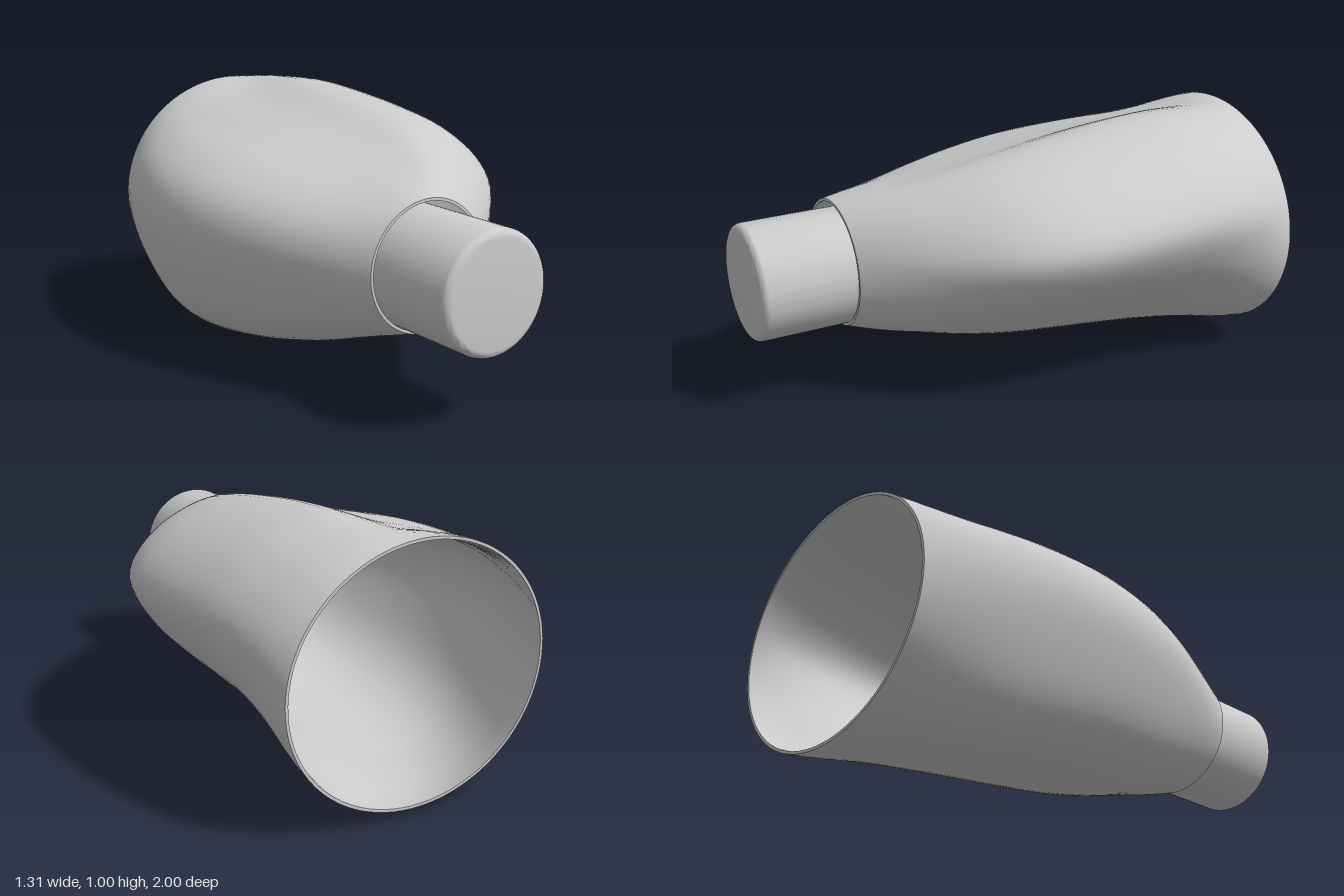
import * as THREE from 'three';
import { toCreasedNormals } from 'three/addons/utils/BufferGeometryUtils.js';

const SIDES = 96, ROWS = 56, WALL = 0.011;

// Stations along the body: z, min x, max x, min y, max y, bulge (0 = ellipse, 1 = full bulge)
const stations = [
  [0.64, -0.375, 0.127, 0.258, 0.75, 0],
  [0.4, -0.48, 0.38, 0.188, 0.825, 0.6],
  [0.2, -0.56, 0.545, 0.124, 0.886, 0.9],
  [0, -0.62, 0.628, 0.076, 0.932, 1],
  [-0.2, -0.652, 0.652, 0.042, 0.964, 1.02],
  [-0.4, -0.65, 0.653, 0.015, 0.987, 1.02],
  [-0.6, -0.615, 0.642, 0, 1, 0.94],
  [-0.8, -0.555, 0.617, 0.01, 0.992, 0.6],
  [-1, -0.474, 0.578, 0.028, 0.98, 0],
];
const tracks = stations[0].map((_, c) => new THREE.SplineCurve(stations.map((s) => new THREE.Vector2(s[c], 0))));

// Skewed, rounded cross-section at the widest part, counter-clockwise from the front
const bulgePoints = [
  [0.65, 0.66], [0.6, 0.78], [0.43, 0.92], [0.18, 0.99], [-0.05, 0.92], [-0.28, 0.86],
  [-0.46, 0.805], [-0.6, 0.705], [-0.655, 0.55], [-0.615, 0.34], [-0.52, 0.14], [-0.4, 0.04],
  [-0.23, 0], [0, 0.045], [0.22, 0.155], [0.42, 0.32], [0.565, 0.475],
].map(([x, y]) => new THREE.Vector3(x / 0.655, (y - 0.5) / 0.5, 0));
const bulge = new THREE.CatmullRomCurve3(bulgePoints, true).getSpacedPoints(SIDES).slice(0, SIDES);

// One cross-section, fitted to its station's width and height
function section(t, inset) {
  const [z, x0, x1, y0, y1, w] = tracks.map((c) => c.getPoint(t).x);
  const pts = bulge.map((p) => {
    const a = Math.atan2(p.y, p.x);
    return new THREE.Vector3(Math.cos(a), Math.sin(a), 0).lerp(p, w);
  });
  const box = new THREE.Box3().setFromPoints(pts);
  const fit = (v, a, b, lo, hi) => lo + inset + ((v - a) / (b - a)) * (hi - lo - 2 * inset);
  return pts.map((p) => [
    fit(p.x, box.min.x, box.max.x, x0, x1),
    fit(p.y, box.min.y, box.max.y, y0, y1),
    z,
  ]);
}

// Skin a list of closed sections; faces look outward when the sections run from +z to -z
function loft(sections) {
  const index = [];
  for (let r = 0; r < sections.length - 1; r++) {
    for (let i = 0; i < SIDES; i++) {
      const a = r * SIDES + i, b = r * SIDES + ((i + 1) % SIDES);
      index.push(a, a + SIDES, b, b, a + SIDES, b + SIDES);
    }
  }
  const g = new THREE.BufferGeometry();
  g.setAttribute('position', new THREE.Float32BufferAttribute(sections.flat(2), 3));
  g.setIndex(index);
  g.computeVertexNormals();
  return g;
}

export function createModel() {
  const model = new THREE.Group();
  const grey = new THREE.MeshStandardMaterial({ color: 0xcccccc });
  grey.name = 'plain grey';
  const add = (name, geometry) => {
    const mesh = new THREE.Mesh(geometry, grey);
    mesh.name = name;
    model.add(mesh);
    return mesh;
  };

  // Thin hollow body, open at both ends
  const outer = [], inner = [];
  for (let r = 0; r <= ROWS; r++) {
    outer.push(section(r / ROWS, 0));
    inner.push(section(r / ROWS, WALL));
  }
  add('bodyOuter', loft(outer));
  add('bodyInner', loft(inner.slice().reverse()));
  add('frontRim', loft([inner[0], outer[0]]));
  add('backRim', loft([outer[ROWS], inner[ROWS]]));

  // Round plug standing loose in the front opening
  const radius = 0.2245, fillet = 0.03;
  const profile = [new THREE.Vector2(0, 0.45), new THREE.Vector2(radius, 0.45)];
  for (let i = 0; i <= 6; i++) {
    const a = (i / 6) * Math.PI / 2;
    profile.push(new THREE.Vector2(radius - fillet + fillet * Math.cos(a), 1 - fillet + fillet * Math.sin(a)));
  }
  profile.push(new THREE.Vector2(0, 1));
  const plug = add('plug', toCreasedNormals(new THREE.LatheGeometry(profile, 64).rotateX(Math.PI / 2), 0.6));
  plug.position.set(-0.1225, 0.491, 0);

  return model;
}
